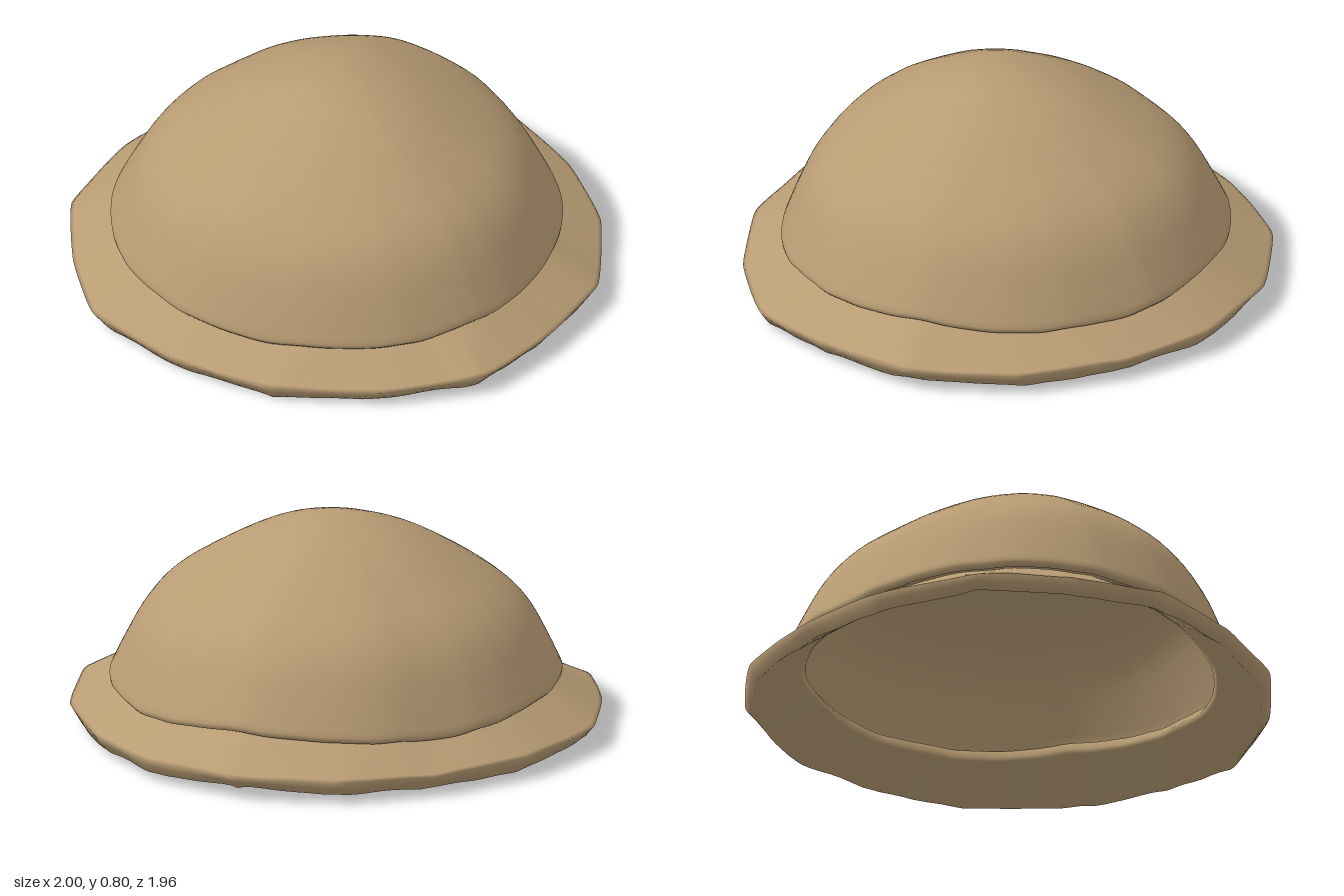
import * as THREE from 'three';

const COLS = 144;

// half outlines from the front (+z) round the left side to the back: x, y, z
const DOME_RIM = [
  [0, 0.17, 0.83], [0.36, 0.18, 0.765], [0.605, 0.197, 0.605], [0.76, 0.21, 0.39], [0.83, 0.22, 0.08],
  [0.775, 0.2, -0.25], [0.615, 0.192, -0.515], [0.375, 0.205, -0.72], [0, 0.23, -0.82],
];
const BRIM_EDGE = [
  [0, 0.06, 0.98], [0.4, 0.062, 0.9], [0.74, 0.07, 0.72], [0.9, 0.08, 0.43], [1, 0.085, 0.08],
  [0.9, 0.08, -0.33], [0.68, 0.08, -0.65], [0.38, 0.085, -0.89], [0, 0.09, -0.98],
];
const HEM = [
  [0, 0, 0.945], [0.385, 0.01, 0.87], [0.71, 0.015, 0.69], [0.865, 0.025, 0.415], [0.96, 0.03, 0.08],
  [0.865, 0.02, -0.32], [0.655, 0.02, -0.625], [0.365, 0.03, -0.86], [0, 0.04, -0.945],
];
// crown profile from apex to rim: outward fraction, height fraction
const PROFILE = [
  [0, 1], [0.14, 0.982], [0.36, 0.88], [0.6, 0.69], [0.76, 0.53], [0.86, 0.37], [0.94, 0.17], [1, 0],
];
const APEX = new THREE.Vector3(0, 0.8, 0.05);

// closed curve from a half outline mirrored in x; low tension keeps soft corners
function outline(half, tension) {
  const points = half.concat(half.slice(1, -1).reverse().map(([x, y, z]) => [-x, y, z]));
  return new THREE.CatmullRomCurve3(points.map((p) => new THREE.Vector3(...p)), true, 'catmullrom', tension);
}

// skin closed rows of points, each row running anticlockwise seen from above
function loft(rows) {
  const geometry = new THREE.BufferGeometry().setFromPoints(rows.flat());
  const index = [];
  for (let r = 0; r < rows.length - 1; r++) {
    for (let c = 0; c < COLS; c++) {
      const d = (c + 1) % COLS;
      const a = r * COLS + c, b = (r + 1) * COLS + c, e = (r + 1) * COLS + d, f = r * COLS + d;
      index.push(a, b, e, a, e, f);
    }
  }
  geometry.setIndex(index);
  geometry.computeVertexNormals();
  return geometry;
}

const ring = (fn) => Array.from({ length: COLS }, (_, c) => fn(c / COLS));

// irregular ripple, zero at the front centre
const ripple = (u) => {
  const a = u * Math.PI * 2;
  return 0.5 * Math.sin(9 * a) + 0.3 * Math.sin(17 * a) + 0.2 * Math.sin(29 * a);
};

export function createModel() {
  const group = new THREE.Group();
  group.name = 'hat';
  const material = new THREE.MeshStandardMaterial({ color: 0xb89c74, side: THREE.DoubleSide });
  const rim = outline(DOME_RIM, 0.5), edge = outline(BRIM_EDGE, 0.2), hem = outline(HEM, 0.2);

  // rim outline shrunk by s and lowered, with a slight ripple
  const lip = (u, s, drop) => {
    const p = rim.getPoint(u);
    return p.set(p.x * s, p.y - drop + 0.006 * ripple(u), p.z * s);
  };

  // crown skin: the rim outline drawn up to the apex, fuller at the front and back
  const profile = new THREE.SplineCurve(PROFILE.map((p) => new THREE.Vector2(...p))).getPoints(28);
  const skin = (inset) => profile.map(({ x: s, y: h }) => ring((u) => {
    const end = lip(u, 1 - inset * 1.3, 0);
    const facing = Math.cos(u * Math.PI * 2);
    const out = s + (facing > 0 ? 0.16 : -0.08) * facing * s * s * (1 - s);
    const y = THREE.MathUtils.lerp(end.y, APEX.y - inset, h);
    return new THREE.Vector3(APEX.x, 0, APEX.z).lerp(end, out).setY(y);
  }));
  // outer skin, rolled lip, inner skin
  const roll = [[0.998, 0.013], [0.988, 0.022], [0.975, 0.024], [0.965, 0.015]]
    .map(([s, drop]) => ring((u) => lip(u, s, drop)));
  const crown = new THREE.Mesh(loft([...skin(0), ...roll, ...skin(0.03).reverse()]), material);
  crown.name = 'crown';

  // brim: sloping top, hem turned down at the edge, underside back to the opening
  const hemPoint = (u, t) => {
    const p = edge.getPoint(u).lerp(hem.getPoint(u), t);
    const wobble = 1 + 0.006 * ripple(u + 0.13) * t;
    return p.set(p.x * wobble, p.y + 0.01 * Math.abs(ripple(u)) * t, p.z * wobble);
  };
  const brimTop = [0, 0.25, 0.5, 0.75, 0.93, 1].map((t) => ring((u) => {
    const p = lip(u, 0.94, 0.015).lerp(edge.getPoint(u), t);
    return p.setY(p.y + 0.005 * ripple(u + 0.13) * t);
  }));
  const brimHem = [0.45, 1].map((t) => ring((u) => hemPoint(u, t)));
  const underside = [0.08, 0.35, 0.65, 0.92, 1].map((t) => ring((u) => hemPoint(u, 1).lerp(lip(u, 0.91, 0.05), t)));
  const brim = new THREE.Mesh(loft([...brimTop, ...brimHem, ...underside, brimTop[0]]), material);
  brim.name = 'brim';

  group.add(crown, brim);
  return group;
}
